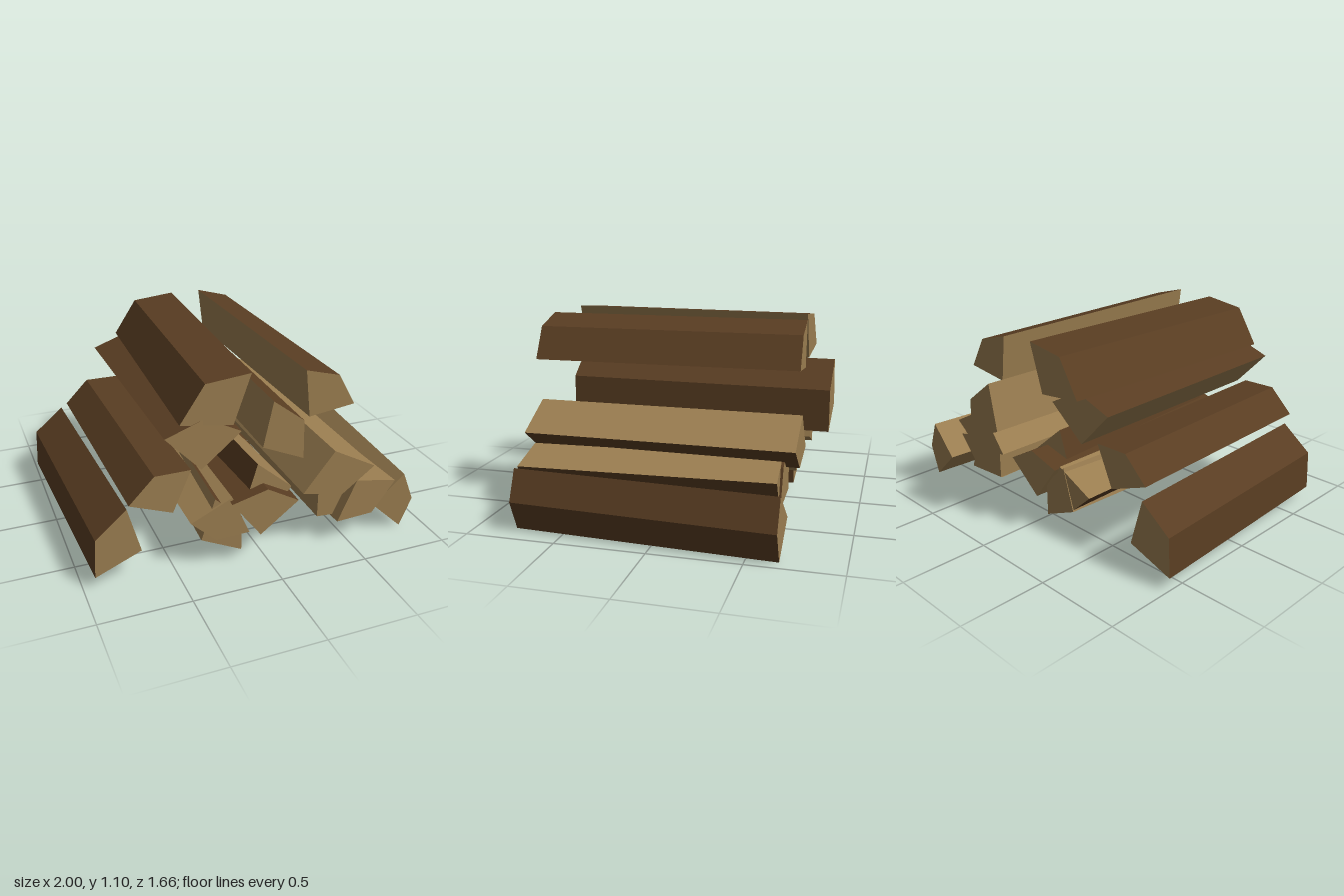
import * as THREE from 'three';

const wood = new THREE.MeshStandardMaterial({ color: 0x9a7d50 });
wood.name = 'split wood';
const bark = new THREE.MeshStandardMaterial({ color: 0x593d22 });
bark.name = 'bark';

// Each log is a wedge split from a round trunk: a heart corner and three
// corners on the trunk's rim. Rim sides carry bark, the split sides and ends are bare.
// drift is how far the back end is moved along x; the ends stay square to the log.
function logGeometry({ x, y, radius, facing, spread, front, back, drift }) {
  const section = [-0.5, 0, 0.5].map((k) => {
    const angle = THREE.MathUtils.degToRad(facing + k * spread);
    return [x + radius * Math.cos(angle), y + radius * Math.sin(angle)];
  });
  section.push([x, y]);

  const slope = drift / (front - back);
  const midX = section.reduce((sum, p) => sum + p[0], 0) / section.length;
  const f = section.map(([px, py]) => [px, py, front + slope * (px - midX)]);
  const b = section.map(([px, py]) => [px + drift, py, back + slope * (px - midX)]);

  const points = [];
  const quad = (p, q, r, s) => points.push(...p, ...q, ...r, ...p, ...r, ...s);
  for (let i = 0; i < 4; i++) {
    const j = (i + 1) % 4;
    quad(f[i], b[i], b[j], f[j]);
  }
  quad(f[0], f[1], f[2], f[3]);
  quad(b[3], b[2], b[1], b[0]);

  const geometry = new THREE.BufferGeometry();
  geometry.setAttribute('position', new THREE.Float32BufferAttribute(points, 3));
  geometry.addGroup(0, 12, 0);
  geometry.addGroup(12, 24, 1);
  geometry.computeVertexNormals();
  return geometry;
}

export function createModel() {
  const pile = new THREE.Group();
  pile.name = 'firewoodPile';

  // x, y: heart corner at the front; facing, spread: degrees, of the bark side
  const addLog = (name, x, y, radius, facing, spread, front, back, drift) => {
    const geometry = logGeometry({ x, y, radius, facing, spread, front, back, drift });
    const log = new THREE.Mesh(geometry, [bark, wood]);
    log.name = name;
    pile.add(log);
  };

  // right side, from the ground up
  addLog('outerRightLog', -0.68, 0.17, 0.275, 153, 96, 0.725, -0.605, -0.063);
  addLog('lowerRightLog', -0.52, 0.39, 0.25, 112, 92, 0.765, -0.56, -0.035);
  addLog('upperRightLog', -0.36, 0.605, 0.283, 86, 94, 0.755, -0.61, -0.02);
  addLog('topRightLog', -0.19, 0.83, 0.285, 121.5, 101, 0.758, -0.662, 0.055);

  // left side, from the top down
  addLog('topLeftLog', 0.21, 0.83, 0.262, 51.5, 90, 0.81, -0.68, -0.03);
  addLog('upperLeftLog', 0.025, 0.61, 0.267, 27, 102, 0.66, -0.828, 0.023);
  addLog('middleLeftLog', 0.37, 0.605, 0.285, 281.5, 100, 0.825, -0.693, 0);
  addLog('lowerLeftLog', 0.53, 0.385, 0.262, 296, 102, 0.805, -0.605, -0.073);
  addLog('innerLeftLog', 0.325, 0.165, 0.28, 43, 94, 0.75, -0.62, 0);
  addLog('outerLeftLog', 0.675, 0.17, 0.25, 0, 86, 0.775, -0.67, 0.075);

  // heap in the middle
  addLog('middleTopLog', 0.17, 0.38, 0.273, 186, 94, 0.73, -0.5, -0.045);
  addLog('middleLog', -0.04, 0.165, 0.275, 82.5, 89, 0.8, -0.62, 0.03);
  addLog('middleRightLog', -0.19, 0.405, 0.257, 249, 88, 0.76, -0.6, 0);
  addLog('middleBottomLog', -0.36, 0.17, 0.25, 23.5, 97, 0.75, -0.6, 0.06);

  return pile;
}
